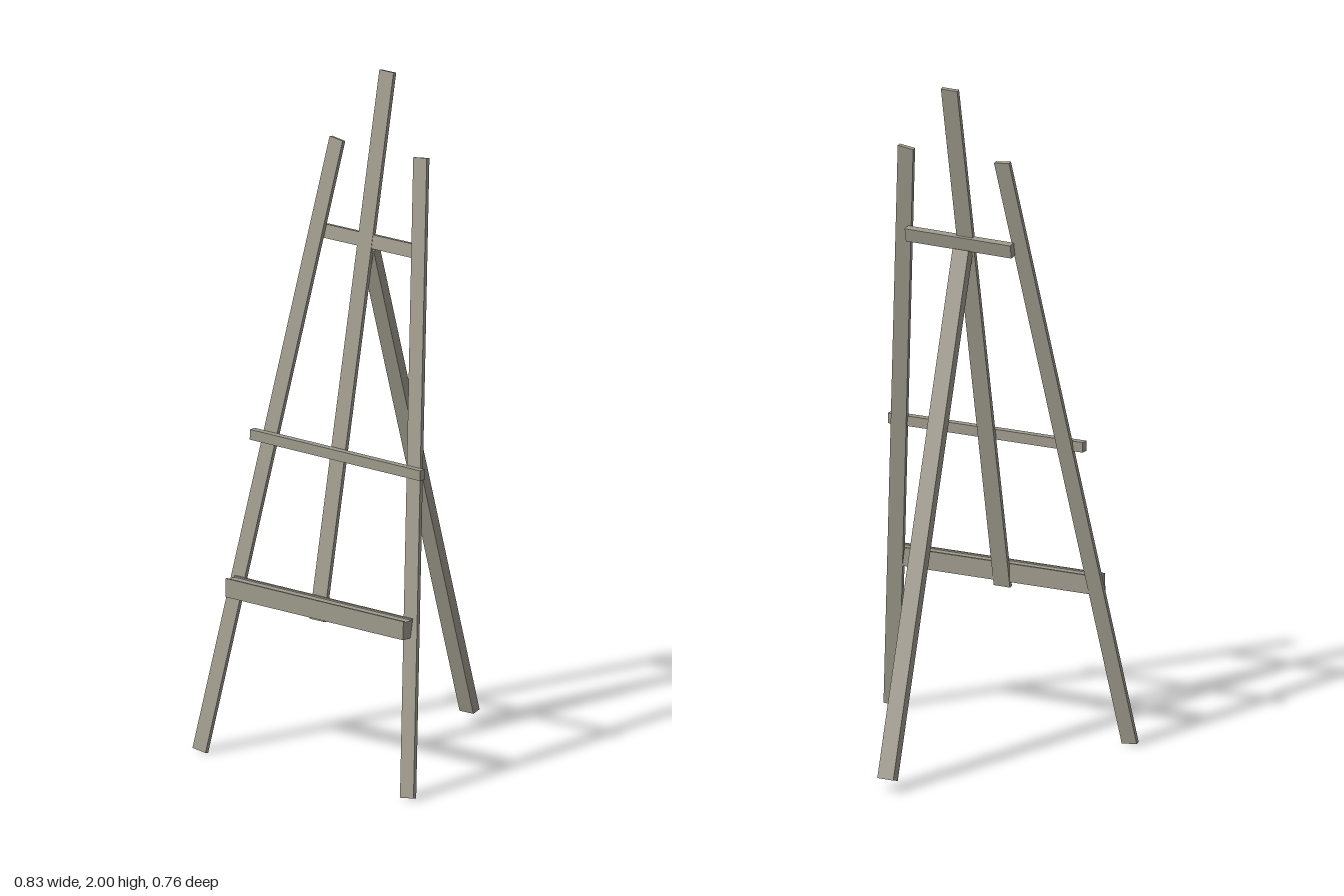
import * as THREE from 'three';

const wood = new THREE.MeshStandardMaterial({ color: 0x9c988a });

// Straight plank between two end centres; its width stays in the x direction.
function plank(name, from, to, width, thickness) {
  const a = new THREE.Vector3(...from), b = new THREE.Vector3(...to);
  const along = b.clone().sub(a);
  const mesh = new THREE.Mesh(new THREE.BoxGeometry(width, along.length(), thickness), wood);
  along.normalize();
  const normal = new THREE.Vector3(1, 0, 0).cross(along).normalize();
  const side = along.clone().cross(normal);
  mesh.quaternion.setFromRotationMatrix(new THREE.Matrix4().makeBasis(side, along, normal));
  mesh.position.copy(a).add(b).multiplyScalar(0.5);
  mesh.name = name;
  return mesh;
}

// Horizontal rail with a lean about x and a slight roll about z.
function rail(name, geometry, position, lean, roll) {
  const mesh = new THREE.Mesh(geometry, wood);
  mesh.position.set(...position);
  mesh.rotation.set(lean, 0, roll);
  mesh.name = name;
  return mesh;
}

// Canvas ledge: a bar with a shallow groove along its top.
function ledgeGeometry(length, height, depth) {
  const h = height / 2, d = depth / 2, groove = 0.004;
  const profile = new THREE.Shape([
    [-d, -h], [d, -h], [d, h], [d - 0.006, h], [d - 0.006, h - groove],
    [-d + 0.007, h - groove], [-d + 0.007, h], [-d, h],
  ].map(([x, y]) => new THREE.Vector2(x, y)));
  return new THREE.ExtrudeGeometry(profile, { depth: length, bevelEnabled: false })
    .translate(0, 0, -length / 2)
    .rotateY(-Math.PI / 2);
}

export function createModel() {
  const easel = new THREE.Group();
  easel.name = 'easel';

  // Splayed front legs
  for (const [name, s] of [['leftLeg', 1], ['rightLeg', -1]]) {
    easel.add(plank(name, [s * 0.389, 0.005, 0.374], [s * 0.157, 1.787, 0.044], 0.05, 0.012));
  }

  // Central mast and rear prop
  easel.add(plank('mast', [-0.018, 0.44, 0.293], [-0.018, 1.999, -0.014], 0.053, 0.012));
  easel.add(plank('backLeg', [-0.011, 0.036, -0.3645], [-0.011, 1.497, 0.073], 0.052, 0.028));

  // Cross rails and ledge
  easel.add(rail('topRail', new THREE.BoxGeometry(0.345, 0.04, 0.021), [0, 1.518, 0.075], -0.19, 0));
  easel.add(rail('middleRail', new THREE.BoxGeometry(0.637, 0.03, 0.022), [-0.009, 0.916, 0.218], 0, -0.011));
  easel.add(rail('ledge', ledgeGeometry(0.665, 0.055, 0.044), [0, 0.483, 0.307], 0, -0.011));

  return easel;
}
